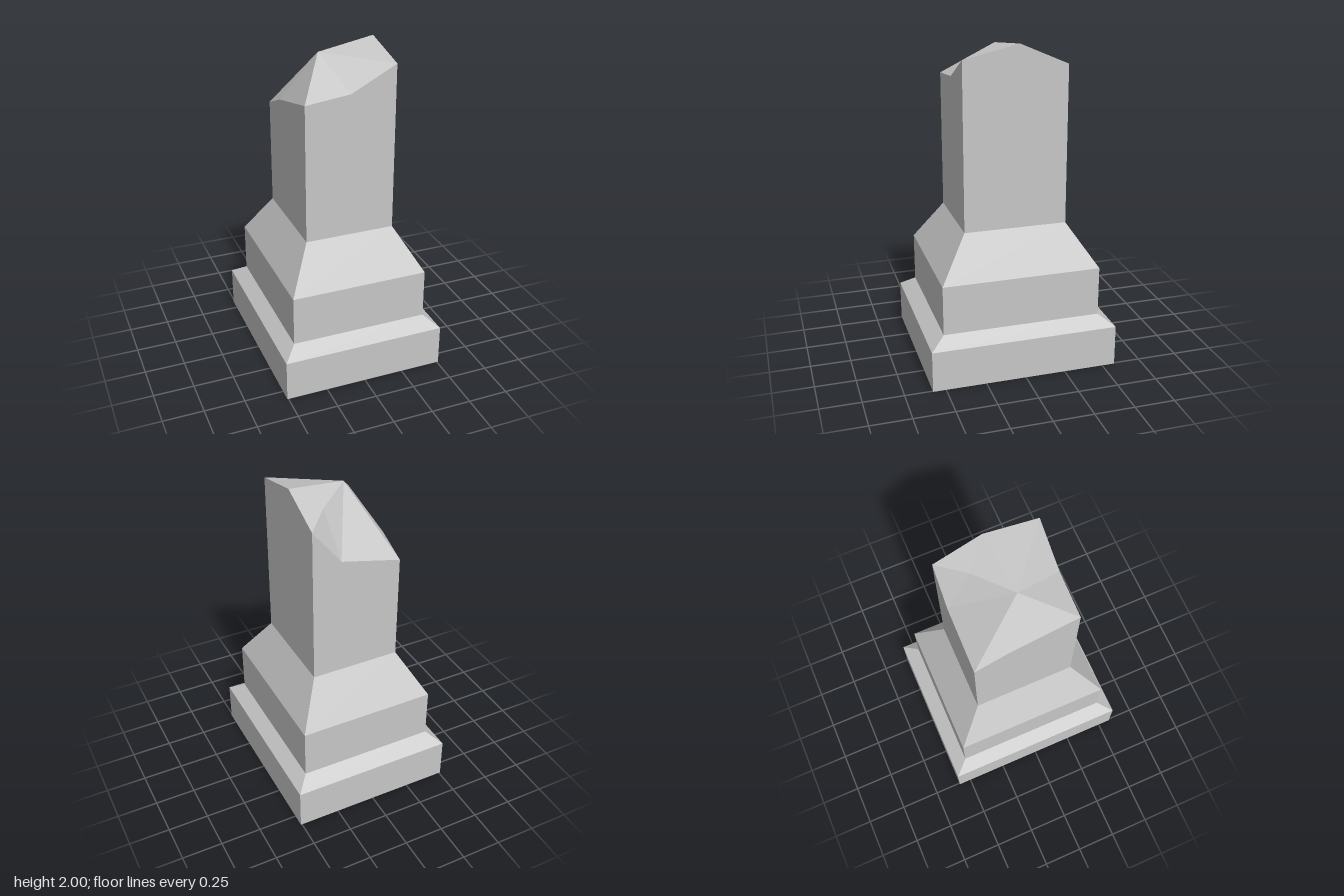
import * as THREE from 'three';

const stone = new THREE.MeshStandardMaterial({ color: 0xc6c6c6, flatShading: true, side: THREE.DoubleSide });
stone.name = 'grey stone';

// Mesh from a list of triangles, each a trio of [x, y, z] points
function facets(name, triangles) {
  const geometry = new THREE.BufferGeometry();
  geometry.setAttribute('position', new THREE.Float32BufferAttribute(triangles.flat(2), 3));
  geometry.computeVertexNormals();
  const mesh = new THREE.Mesh(geometry, stone);
  mesh.name = name;
  return mesh;
}

// Walls between two closed loops, counter-clockwise seen from above
function walls(lower, upper) {
  const triangles = [];
  lower.forEach((a, i) => {
    const j = (i + 1) % lower.length;
    triangles.push([a, lower[j], upper[j]], [a, upper[j], upper[i]]);
  });
  return triangles;
}

// Rectangular loop from half width, height and half depth
const rect = (w, y, d) => [[-w, y, d], [w, y, d], [w, y, -d], [-w, y, -d]];

export function createModel() {
  const group = new THREE.Group();
  group.name = 'brokenPillar';

  // Stepped pedestal, hollow and open underneath
  const levels = [
    rect(0.508, 0, 0.58),
    rect(0.508, 0.257, 0.58),
    rect(0.427, 0.322, 0.49),
    rect(0.427, 0.63, 0.49),
    rect(0.278, 0.895, 0.317),
  ];
  ['plinth', 'plinthBevel', 'pedestalBlock', 'shoulder'].forEach((name, i) => {
    group.add(facets(name, walls(levels[i], levels[i + 1])));
  });

  // Uneven rim of the broken shaft: corners and one point along each side
  const rim = [
    [-0.278, 1.747, 0.317], [0, 1.78, 0.317],
    [0.278, 1.925, 0.317], [0.278, 2, -0.022],
    [0.278, 1.87, -0.317], [0.1, 1.645, -0.317],
    [-0.278, 1.557, -0.317], [-0.278, 1.64, -0.115],
  ];
  const foot = rim.map(([x, , z]) => [x, 0.895, z]);
  group.add(facets('shaft', walls(foot, rim)));

  // Fractured top fanning out from its peak, with a small chip at the back
  const peak = [-0.087, 1.95, 0.023];
  const chip = [0.13, 1.91, -0.155];
  const top = [];
  rim.forEach((a, i) => {
    const b = rim[(i + 1) % rim.length];
    if (i === 3 || i === 4) top.push([a, b, chip]);
    else top.push([a, b, peak]);
  });
  top.push([rim[3], chip, peak], [chip, rim[5], peak]);
  group.add(facets('brokenTop', top));

  return group;
}
